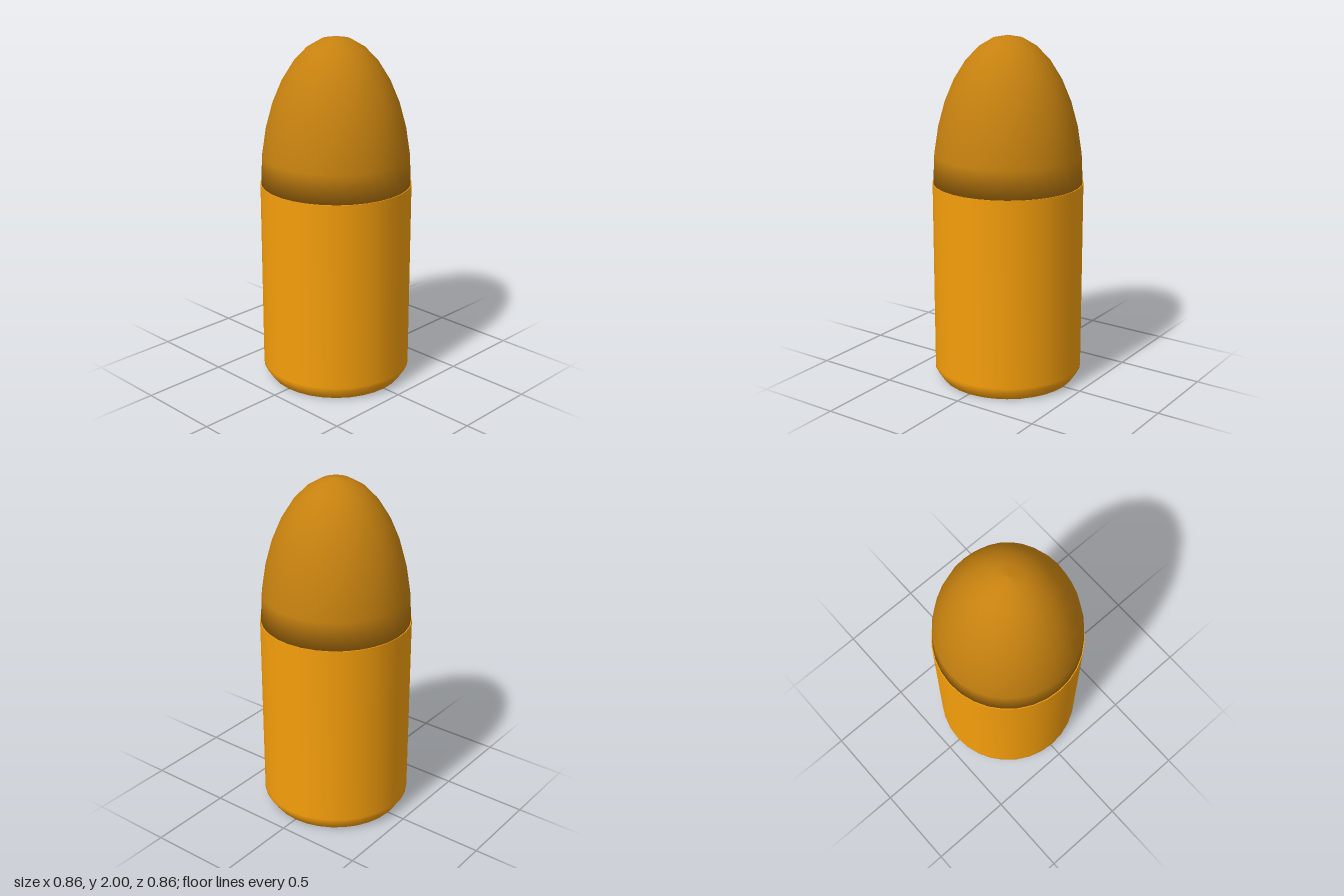
import * as THREE from 'three';
import { toCreasedNormals } from 'three/addons/utils/BufferGeometryUtils.js';

const SEGMENTS = 32;
const RADIUS = 0.43;
const SEAM = 1.17; // height where the nose meets the body

function lathe(name, points, color, crease) {
  const profile = points.map(([r, y]) => new THREE.Vector2(r, y));
  let geometry = new THREE.LatheGeometry(profile, SEGMENTS);
  if (crease) geometry = toCreasedNormals(geometry, crease);
  const mesh = new THREE.Mesh(geometry, new THREE.MeshStandardMaterial({ color }));
  mesh.name = name;
  return mesh;
}

export function createModel() {
  const group = new THREE.Group();
  group.name = 'roundNosedCylinder';

  // Straight body: closed base, softened bevel, flat top with a sharp rim
  const body = [
    [0, 0], [0.39, 0], [RADIUS, 0.06], [RADIUS, 0.08], [RADIUS, SEAM], [0, SEAM],
  ];
  group.add(lathe('body', body, 0xf59e0b, 1.1));

  // Half-ellipsoid nose, set in slightly from the body rim
  const noseRadius = 0.425;
  const rings = 8;
  const nose = [[0, SEAM]];
  for (let i = 0; i <= rings; i++) {
    const a = (i / rings) * Math.PI / 2;
    nose.push([i === rings ? 0 : noseRadius * Math.cos(a), SEAM + (2 - SEAM) * Math.sin(a)]);
  }
  group.add(lathe('nose', nose, 0xc6810f));

  return group;
}
